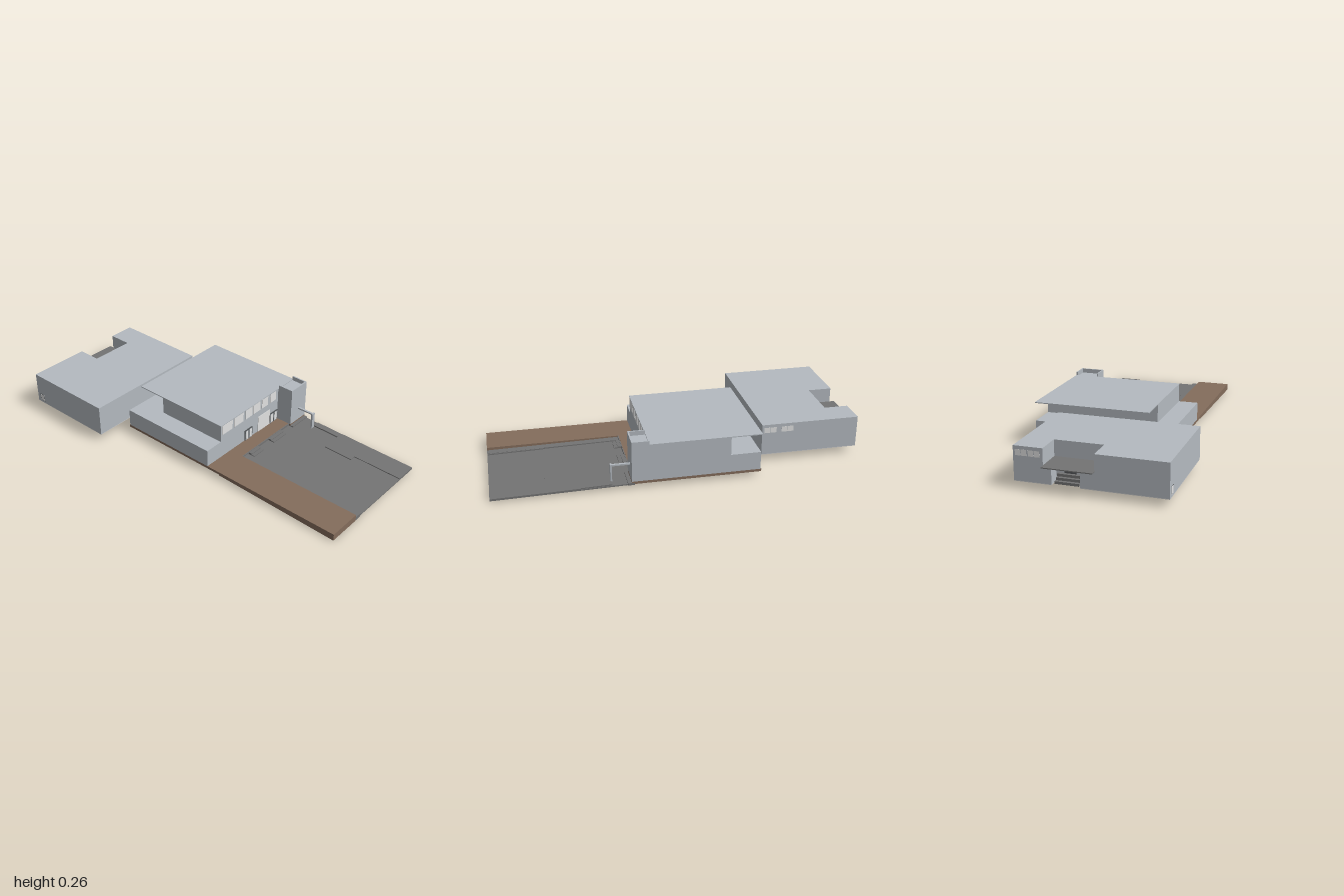
import * as THREE from 'three';

const mat = (name, color) => {
  const m = new THREE.MeshStandardMaterial({ color });
  m.name = name;
  return m;
};

export function createModel() {
  const root = new THREE.Group();
  root.name = 'buildingComplex';
  const wall = mat('wallGrey', 0xb4bac0);
  const asphalt = mat('asphaltGrey', 0x747474);
  const earth = mat('earthBrown', 0x846d5c);
  const glass = mat('paleGlass', 0xe2e2e2);
  const concrete = mat('paleConcrete', 0xcfcfcf);
  const frame = mat('darkFrame', 0x55585a);

  const group = (name, parent = root) => {
    const g = new THREE.Group();
    g.name = name;
    parent.add(g);
    return g;
  };
  const add = (name, geo, m, parent) => {
    const mesh = new THREE.Mesh(geo, m);
    mesh.name = name;
    parent.add(mesh);
    return mesh;
  };
  // Box given by its limits on each axis
  const box = (name, m, x0, x1, y0, y1, z0, z1, parent) => {
    const mesh = add(name, new THREE.BoxGeometry(x1 - x0, y1 - y0, z1 - z0), m, parent);
    mesh.position.set((x0 + x1) / 2, (y0 + y1) / 2, (z0 + z1) / 2);
    return mesh;
  };
  // Slab whose bottom and top heights change from back (z0) to front (z1)
  const slope = (name, m, x0, x1, z0, z1, back, front, parent) => {
    const geo = new THREE.BoxGeometry(1, 1, 1);
    const p = geo.attributes.position;
    for (let i = 0; i < p.count; i++) {
      const [lo, hi] = p.getZ(i) > 0 ? front : back;
      p.setXYZ(i, p.getX(i) > 0 ? x1 : x0, p.getY(i) > 0 ? hi : lo, p.getZ(i) > 0 ? z1 : z0);
    }
    const flat = geo.toNonIndexed();
    flat.computeVertexNormals();
    return add(name, flat, m, parent);
  };
  // Vertical prism from a plan outline of [x, z] points
  const prism = (name, m, plan, y0, y1, parent) => {
    const shape = new THREE.Shape(plan.map(([x, z]) => new THREE.Vector2(x, -z)));
    const geo = new THREE.ExtrudeGeometry(shape, { depth: y1 - y0, bevelEnabled: false });
    geo.rotateX(-Math.PI / 2);
    const mesh = add(name, geo, m, parent);
    mesh.position.y = y0;
    return mesh;
  };

  // Ground: earth platform, side bank and sloping car park
  const site = group('site');
  box('earthPlatform', earth, -0.28, 0.45, 0.025, 0.039, -0.39, 0.276, site);
  box('towerPlinth', earth, 0.316, 0.45, 0.032, 0.039, 0.276, 0.29, site);
  slope('earthBank', earth, -0.28, -0.09, 0.276, 1, [0.02, 0.039], [0, 0.037], site);
  slope('carPark', asphalt, -0.05, 0.445, 0.28, 1, [0.02, 0.027], [0.008, 0.014], site);
  slope('leftPath', asphalt, -0.09, -0.05, 0.28, 1, [0.02, 0.032], [0.002, 0.022], site);
  slope('leftKerb', asphalt, -0.052, -0.045, 0.7, 1, [0.012, 0.026], [0.006, 0.02], site);
  slope('rightPathFront', asphalt, 0.32, 0.445, 0.72, 1, [0.014, 0.023], [0.008, 0.019], site);
  slope('rightPathMiddle', asphalt, 0.285, 0.445, 0.55, 0.72, [0.016, 0.027], [0.014, 0.023], site);
  slope('rightPathBack', asphalt, 0.405, 0.442, 0.39, 0.55, [0.018, 0.032], [0.016, 0.028], site);
  box('towerPaving', asphalt, 0.316, 0.45, 0.02, 0.032, 0.276, 0.31, site);
  box('terraceKerb', asphalt, -0.09, 0.316, 0.02, 0.0385, 0.276, 0.281, site);
  for (const [x0, x1] of [[-0.04, 0.04], [0.13, 0.24]]) {
    box('upperStep', asphalt, x0, x1, 0.02, 0.036, 0.281, 0.30, site);
    box('lowerStep', asphalt, x0, x1, 0.02, 0.031, 0.30, 0.32, site);
  }

  // Front building
  const front = group('frontBuilding');
  box('lowerStorey', wall, -0.28, 0.45, 0.039, 0.137, -0.385, 0.195, front);
  box('upperStorey', wall, -0.172, 0.45, 0.137, 0.235, -0.225, 0.195, front);
  box('flatRoof', wall, -0.174, 0.45, 0.235, 0.24, -0.39, 0.198, front);

  // Tower with an open top behind a parapet
  const tower = group('entranceTower', front);
  box('towerBody', wall, 0.316, 0.45, 0.039, 0.235, 0.195, 0.29, tower);
  box('frontParapet', wall, 0.316, 0.45, 0.235, 0.259, 0.282, 0.29, tower);
  box('leftParapet', wall, 0.442, 0.45, 0.235, 0.259, 0.198, 0.282, tower);
  box('rightParapet', wall, 0.316, 0.324, 0.235, 0.259, 0.198, 0.282, tower);

  // Post and arm beside the tower
  const post = group('entrancePost', front);
  box('post', wall, 0.379, 0.4, 0.025, 0.119, 0.384, 0.393, post);
  box('arm', wall, 0.384, 0.396, 0.109, 0.117, 0.29, 0.384, post);

  // Facade glazing
  const glazing = group('facadeGlazing', front);
  const panes = [[-0.163, -0.08], [-0.067, 0.011], [0.031, 0.085], [0.094, 0.155], [0.17, 0.222], [0.244, 0.292]];
  for (const [x0, x1] of panes) box('upperWindow', glass, x0, x1, 0.178, 0.2348, 0.194, 0.198, glazing);
  box('largeWindow', glass, 0.14, 0.243, 0.039, 0.135, 0.194, 0.198, glazing);
  for (const [x0, x1] of [[0.026, 0.088], [0.244, 0.31]]) {
    const door = group('doubleDoor', glazing);
    const w = (x1 - x0) / 2;
    box('doorFrame', frame, x0, x1, 0.039, 0.104, 0.194, 0.199, door);
    for (let i = 0; i < 2; i++) {
      const a = x0 + i * w;
      box('doorLeaf', wall, a + 0.005, a + w - 0.003, 0.041, 0.098, 0.196, 0.2, door);
      box('doorGlass', glass, a + 0.009, a + w - 0.007, 0.045, 0.095, 0.197, 0.2006, door);
    }
  }

  // Rear building: each storey has its own recess in the back wall
  const rear = group('rearBuilding');
  const plan = (x0, x1, depth) => [
    [-0.453, -0.437], [0.298, -0.437], [0.298, -0.972], [x1, -0.972],
    [x1, depth], [x0, depth], [x0, -0.972], [-0.453, -0.972],
  ];
  prism('rearFloor', concrete, plan(-0.03, 0.11, -0.91), 0.038, 0.041, rear);
  prism('rearLowerStorey', wall, plan(-0.03, 0.11, -0.91), 0.041, 0.126, rear);
  prism('rearUpperStorey', wall, plan(-0.1, 0.15, -0.84), 0.126, 0.212, rear);
  box('entranceCanopy', asphalt, -0.1, 0.15, 0.125, 0.13, -1, -0.84, rear);
  for (let i = 0; i < 3; i++)
    box('entranceStep', asphalt, -0.02, 0.1, 0.041 + i * 0.013, 0.054 + i * 0.013, -0.96 + i * 0.016, -0.91, rear);
  box('rearDoor', frame, 0.01, 0.07, 0.08, 0.12, -0.912, -0.907, rear);

  // Rear building windows: pairs of panes
  for (const z of [-0.516, -0.481, -0.61, -0.576])
    box('sideWindow', glass, 0.294, 0.2985, 0.165, 0.195, z, z + 0.032, rear);
  for (const x of [0.166, 0.196, 0.231, 0.261])
    box('backWindow', glass, x, x + 0.027, 0.165, 0.195, -0.9725, -0.968, rear);
  box('sideDoorFrame', frame, -0.4533, -0.45, 0.05, 0.092, -0.95, -0.915, rear);
  box('sideDoorGlass', glass, -0.4538, -0.45, 0.052, 0.09, -0.948, -0.917, rear);
  return root;
}
